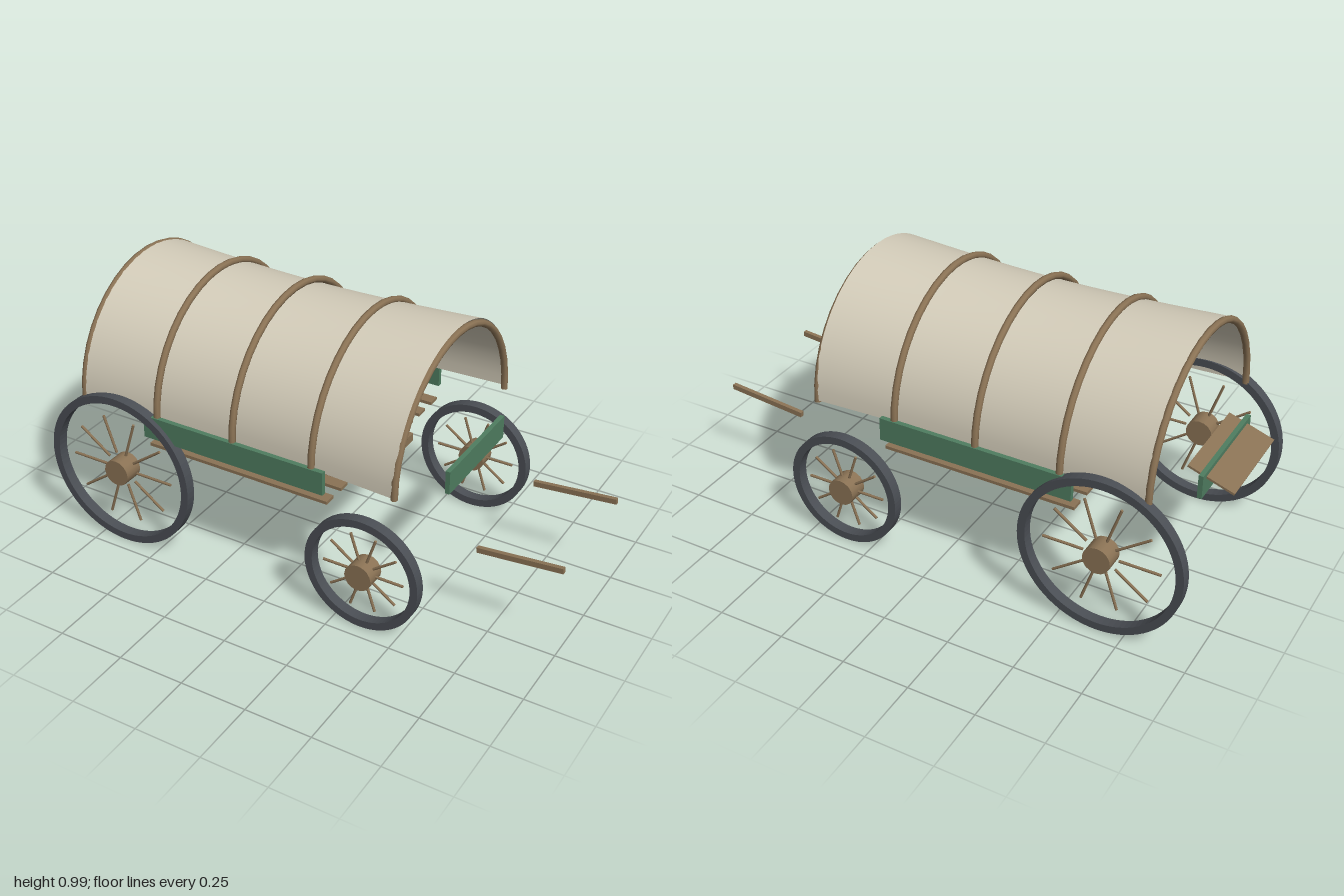
import * as THREE from 'three';

const material = (color, extra = {}) => new THREE.MeshStandardMaterial({ color, ...extra });
const wood = material(0x8b7355);
const green = material(0x4f7d60);
const iron = material(0x4a4e54);
const cloth = material(0xd4cdba, { side: THREE.DoubleSide });

function add(parent, name, geometry, mat, x = 0, y = 0, z = 0) {
  const mesh = new THREE.Mesh(geometry, mat);
  mesh.name = name;
  mesh.position.set(x, y, z);
  parent.add(mesh);
  return mesh;
}

const box = (parent, name, mat, size, pos) =>
  add(parent, name, new THREE.BoxGeometry(...size), mat, ...pos);

// Wheel in the xy plane: flat iron rim, ten spokes and a hub
function createWheel(name, outer, inner, spokeFrom, spokeTo) {
  const wheel = new THREE.Group();
  wheel.name = name;
  const ring = new THREE.Shape().absarc(0, 0, outer, 0, Math.PI * 2);
  ring.holes.push(new THREE.Path().absarc(0, 0, inner, 0, Math.PI * 2, true));
  const rim = new THREE.ExtrudeGeometry(ring, { depth: 0.04, bevelEnabled: false, curveSegments: 40 });
  add(wheel, 'rim', rim.translate(0, 0, -0.02), iron);
  const hub = new THREE.CylinderGeometry(0.051, 0.051, 0.075, 16).rotateX(Math.PI / 2);
  add(wheel, 'hub', hub, wood);
  const length = spokeTo - spokeFrom;
  for (let i = 0; i < 10; i++) {
    const spoke = new THREE.CylinderGeometry(0.005, 0.005, length, 8);
    spoke.translate(0, spokeFrom + length / 2, 0).rotateZ(i * Math.PI / 5 - Math.PI / 2);
    add(wheel, 'spoke', spoke, wood);
  }
  return wheel;
}

const BASE = 0.555, X0 = -0.8, X1 = 0.465;

// Cloth cover: half tube whose radius dips toward the middle
function createCover() {
  const geometry = new THREE.PlaneGeometry(1, 1, 32, 32);
  const p = geometry.attributes.position;
  for (let i = 0; i < p.count; i++) {
    const u = p.getX(i) + 0.5;
    const angle = (p.getY(i) + 0.5) * Math.PI;
    const r = 0.427 - 0.023 * Math.sin(u * Math.PI);
    p.setXYZ(i, X0 + u * (X1 - X0), BASE + r * Math.sin(angle), r * Math.cos(angle));
  }
  geometry.computeVertexNormals();
  return geometry;
}

export function createModel() {
  const wagon = new THREE.Group();
  wagon.name = 'coveredWagon';

  // Cover and its five hoops
  add(wagon, 'clothCover', createCover(), cloth);
  for (let i = 0; i < 5; i++) {
    const hoop = new THREE.TorusGeometry(0.418, 0.013, 8, 20, Math.PI).rotateY(Math.PI / 2);
    add(wagon, 'hoop', hoop, wood, X0 + i * (X1 - X0) / 4, BASE - (i === 4 ? 0.008 : 0), 0);
  }

  // Bed: base plank and floor slats
  box(wagon, 'bedBase', wood, [0.78, 0.032, 0.36], [-0.17, 0.388, 0]);
  for (let i = -4; i <= 4; i++) {
    box(wagon, 'floorSlat', wood, [0.735, 0.012, 0.046], [-0.167, 0.431, i * 0.095]);
  }

  // End boards
  box(wagon, 'frontBoard', green, [0.017, 0.088, 0.42], [0.554, 0.523, 0]);
  box(wagon, 'rearBoard', green, [0.017, 0.088, 0.42], [-0.891, 0.523, 0]);

  // Sloping seat plank
  const seat = box(wagon, 'seatPlank', wood, [0.178, 0.008, 0.36], [-0.915, 0.541, 0]);
  seat.rotation.z = 0.33;

  // Paired parts: side boards, shafts, wheels
  for (const side of [1, -1]) {
    box(wagon, 'sideBoard', green, [0.735, 0.088, 0.018], [-0.167, 0.523, side * 0.423]);
    const shaft = box(wagon, 'shaft', wood, [0.314, 0.02, 0.016], [0.842, 0.329, side * 0.231]);
    shaft.rotation.z = 0.095;

    const rear = createWheel('rearWheel', 0.303, 0.274, 0.066, 0.216);
    rear.position.set(-0.65, 0.303, side * 0.43);
    const front = createWheel('frontWheel', 0.219, 0.19, 0.048, 0.155);
    front.position.set(0.358, 0.219, side * 0.43);
    wagon.add(rear, front);
  }
  return wagon;
}
